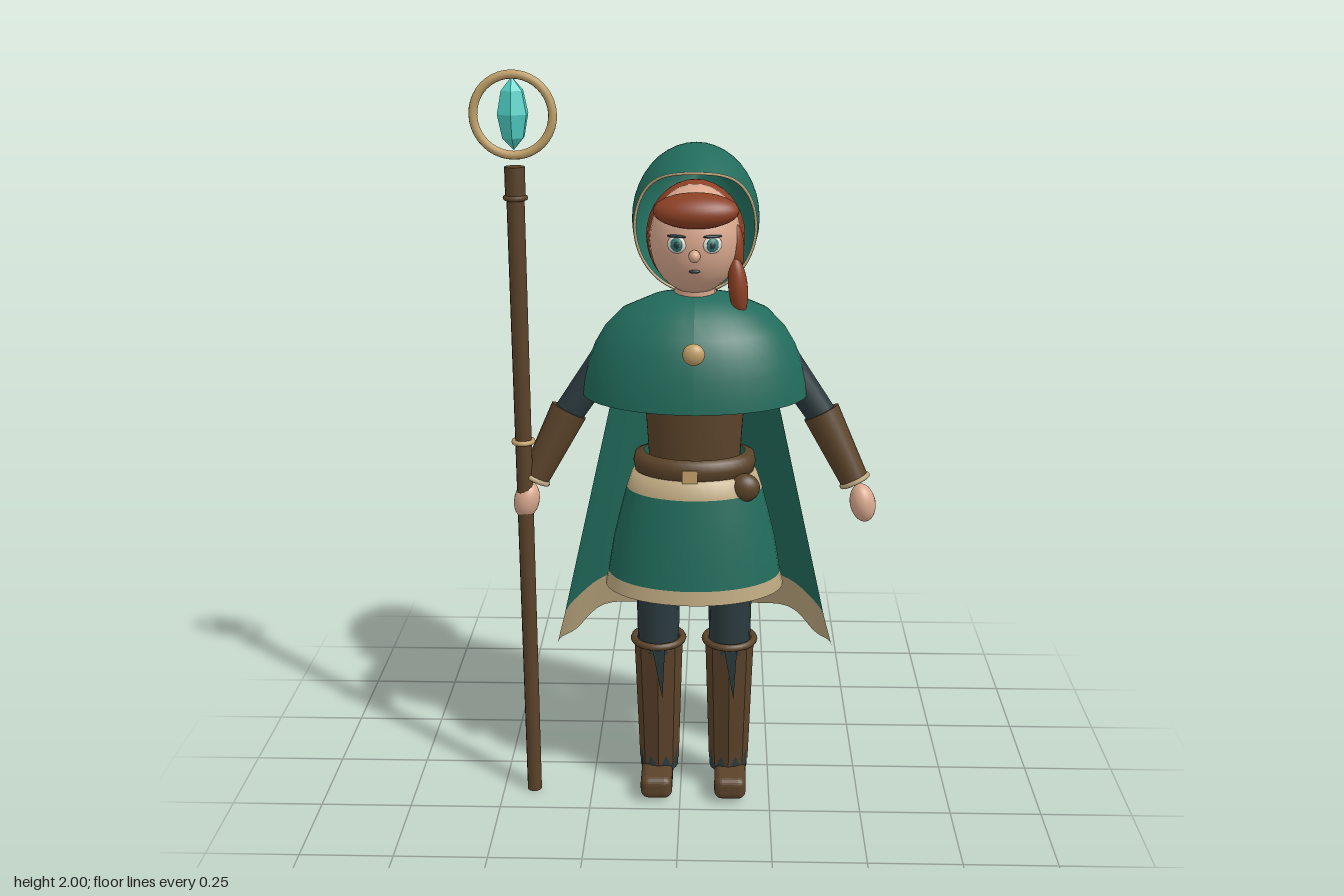
import * as THREE from 'three';
import { RoundedBoxGeometry } from 'three/addons/geometries/RoundedBoxGeometry.js';

const mat = (name, color, extra = {}) =>
  Object.assign(new THREE.MeshStandardMaterial({ color, ...extra }), { name });
const V = (x, y, z) => new THREE.Vector3(x, y, z);
const CX = 0.037; // body centre line

// Smooth surface from f(u, v) -> [x, y, z]
function surface(nu, nv, f) {
  const pos = [], idx = [];
  for (let j = 0; j <= nv; j++)
    for (let i = 0; i <= nu; i++) pos.push(...f(i / nu, j / nv));
  for (let j = 0; j < nv; j++)
    for (let i = 0; i < nu; i++) {
      const a = j * (nu + 1) + i, b = a + nu + 1;
      idx.push(a, a + 1, b, a + 1, b + 1, b);
    }
  const g = new THREE.BufferGeometry();
  g.setAttribute('position', new THREE.Float32BufferAttribute(pos, 3));
  g.setIndex(idx);
  g.computeVertexNormals();
  return g;
}

export function createModel() {
  const root = new THREE.Group();
  const green = mat('green cloth', 0x216b5b, { side: THREE.DoubleSide });
  const tan = mat('tan trim', 0xbca77f, { side: THREE.DoubleSide });
  const gold = mat('gold', 0xc0a068);
  const brown = mat('brown leather', 0x5a4229);
  const red = mat('red hair', 0x8c4024);
  const skin = mat('skin', 0xd9a88e);
  const dark = mat('dark cloth', 0x2b3a3e, { side: THREE.DoubleSide });
  const teal = mat('teal crystal', 0x4fcfc3, { flatShading: true });
  const white = mat('eye white', 0xe6e2d8);
  const iris = mat('iris', 0x2f8378);

  const add = (name, geo, m, x = 0, y = 0, z = 0) => {
    const mesh = new THREE.Mesh(geo, m);
    mesh.name = name;
    mesh.position.set(x, y, z);
    root.add(mesh);
    return mesh;
  };
  const ball = (name, m, p, s) => {
    const b = add(name, new THREE.SphereGeometry(1, 24, 16), m, ...p);
    b.scale.set(...s);
    return b;
  };
  // Elliptical lathe: profile of [radius, y], scaled by rx and rz
  const oval = (name, m, profile, rx, rz, z) => {
    const g = new THREE.LatheGeometry(profile.map(p => new THREE.Vector2(...p)), 40);
    g.scale(rx, 1, rz);
    return add(name, g, m, CX, 0, z);
  };
  // Tapered limb between two points
  const limb = (name, m, a, b, ra, rb, seg = 16) => {
    const g = new THREE.CylinderGeometry(rb, ra, a.distanceTo(b), seg);
    const l = add(name, g, m);
    l.position.copy(a).add(b).multiplyScalar(0.5);
    l.quaternion.setFromUnitVectors(V(0, 1, 0), b.clone().sub(a).normalize());
    return l;
  };

  // Head and face
  ball('head', skin, [CX, 1.575, 0.105], [0.118, 0.14, 0.112]);
  ball('backHair', red, [CX, 1.575, 0.06], [0.128, 0.145, 0.105]);
  const fringe = ball('fringe', red, [CX + 0.003, 1.662, 0.19], [0.108, 0.042, 0.055]);
  fringe.rotation.x = 0.35;
  ball('braid', red, [0.147, 1.46, 0.15], [0.025, 0.075, 0.027]).rotation.z = 0.1;
  ball('braidTop', red, [0.14, 1.55, 0.13], [0.022, 0.07, 0.025]);
  ball('nose', skin, [CX, 1.553, 0.222], [0.015, 0.016, 0.018]);
  ball('mouth', dark, [CX, 1.511, 0.204], [0.014, 0.005, 0.005]);
  for (const s of [-1, 1]) {
    const x = CX + s * 0.045;
    ball('eye', white, [x, 1.58, 0.208], [0.025, 0.022, 0.008]).rotation.y = s * 0.35;
    ball('iris', iris, [x, 1.58, 0.213], [0.016, 0.017, 0.007]).rotation.y = s * 0.35;
    ball('pupil', dark, [x, 1.58, 0.218], [0.008, 0.009, 0.004]).rotation.y = s * 0.35;
    const lash = ball('lash', dark, [x, 1.601, 0.209], [0.025, 0.004, 0.006]);
    lash.rotation.y = s * 0.35;
  }
  limb('neck', skin, V(CX, 1.36, 0.09), V(CX, 1.47, 0.09), 0.055, 0.055);

  // Hood: rings of [z, centre y, half width, half height], brim drawn forward
  const rings = [
    [0.1, 1.605, 0.155, 0.17], [0.065, 1.612, 0.163, 0.182], [0.02, 1.62, 0.164, 0.187],
    [-0.04, 1.628, 0.147, 0.172], [-0.085, 1.655, 0.108, 0.13], [-0.12, 1.695, 0.062, 0.072],
    [-0.142, 1.715, 0.001, 0.001],
  ];
  const spline = new THREE.CatmullRomCurve3(rings.map(r => V(r[0], r[1], r[2])));
  const heights = new THREE.CatmullRomCurve3(rings.map(r => V(r[3], 0, r[0])));
  const hoodPoint = (u, v) => {
    const a = u * Math.PI * 2, p = spline.getPoint(v), h = heights.getPoint(v).x;
    const up = Math.max(0, Math.sin(a)) ** 4, brim = Math.max(0, 1 - v * 5) * up;
    return [CX + p.z * Math.cos(a), p.y + h * Math.sin(a) - 0.025 * brim, p.x + 0.062 * brim];
  };
  add('hood', surface(40, 24, hoodPoint), green);
  const rim = Array.from({ length: 40 }, (_, i) => V(...hoodPoint(i / 40, 0)));
  add('hoodTrim', new THREE.TubeGeometry(new THREE.CatmullRomCurve3(rim, true), 80, 0.004, 6, true), tan);

  // Shoulder mantle, hanging lower at the back
  const mantle = oval('mantle', green, [
    [1, 1.165], [0.985, 1.2], [0.945, 1.25], [0.88, 1.3], [0.79, 1.345], [0.64, 1.39],
    [0.37, 1.425], [0.15, 1.437],
  ], 0.297, 0.216, 0.092);
  const mp = mantle.geometry.attributes.position;
  for (let i = 0; i < mp.count; i++) {
    const z = mp.getZ(i), low = (1.437 - mp.getY(i)) / 0.272;
    if (z < 0) mp.setY(i, mp.getY(i) + 0.2 * z * low);
  }
  mantle.geometry.computeVertexNormals();
  ball('clasp', gold, [CX, 1.32, 0.295], [0.028, 0.028, 0.02]);

  // Cape: half-oval rows from shoulders to a wavy trimmed hem
  const cape = (y0, y1) => (u, v) => {
    const y = y0 + (y1 - y0) * v, t = (1.35 - y) / 0.95, a = u * Math.PI;
    const hem = Math.max(0, (0.53 - y) / 0.13);
    const front = 0.12 - 0.06 * hem, back = -0.1 - 0.212 * t;
    const rx = 0.175 + 0.205 * t + 0.006 * t * Math.cos(a * 8);
    return [CX + rx * Math.cos(a), y + 0.012 * hem * Math.cos(a * 8),
      front - (front - back) * Math.sin(a)];
  };
  add('cape', surface(40, 12, cape(1.31, 0.53)), green);
  add('capeHem', surface(40, 4, cape(0.53, 0.405)), tan);
  add('capeCollar', surface(40, 2, cape(1.345, 1.31)), tan);

  // Torso, belt, skirt
  oval('bodice', brown, [[0.92, 0.95], [0.92, 1.0], [1, 1.17], [0.9, 1.3], [0.3, 1.38]], 0.132, 0.095, 0.115);
  oval('belt', brown, [[0.9, 0.957], [1, 0.962], [1.03, 0.985], [1, 1.008], [0.85, 1.014]], 0.158, 0.112, 0.122);
  add('buckle', new THREE.BoxGeometry(0.04, 0.035, 0.008), gold, CX - 0.01, 0.975, 0.236);
  ball('pouch', brown, [0.17, 0.935, 0.2], [0.04, 0.038, 0.03]);
  oval('skirtBand', tan, [[0.75, 0.915], [0.69, 0.958], [0.5, 0.965]], 0.241, 0.168, 0.128);
  oval('skirt', green, [[0.965, 0.675], [0.9, 0.77], [0.82, 0.85], [0.75, 0.915]], 0.241, 0.168, 0.128);
  oval('skirtHem', tan, [[1, 0.637], [0.965, 0.675]], 0.241, 0.168, 0.128);
  ball('hips', dark, [CX, 0.74, 0.13], [0.14, 0.09, 0.085]);

  // Arms
  for (const s of [-1, 1]) {
    const P = (x, y, z) => V(CX + s * x, y, z);
    const shoulder = P(0.235, 1.25, 0.085), elbow = P(0.345, 1.09, 0.09), wrist = P(0.427, 0.93, 0.122);
    limb('sleeve', dark, shoulder, elbow, 0.044, 0.04);
    ball('shoulder', dark, shoulder.toArray(), [0.044, 0.044, 0.044]);
    limb('bracer', brown, P(0.335, 1.11, 0.088), wrist, 0.05, 0.038);
    const cuff = add('cuff', new THREE.TorusGeometry(0.037, 0.007, 8, 24), tan, ...wrist.toArray());
    cuff.quaternion.setFromUnitVectors(V(0, 0, 1), wrist.clone().sub(elbow).normalize());
    const hand = ball('hand', skin, P(0.449, 0.873, 0.137).toArray(), [0.034, 0.053, 0.037]);
    hand.rotation.z = s * 0.2;
  }

  // Legs and boots
  for (const s of [-1, 1]) {
    const x = CX + s * 0.098;
    limb('thigh', dark, V(x, 0.44, 0.13), V(x, 0.76, 0.13), 0.056, 0.062);
    const boot = new THREE.CylinderGeometry(0.067, 0.055, 0.39, 8).toNonIndexed();
    boot.computeVertexNormals();
    limb('ankle', dark, V(x, 0.06, 0.1), V(x, 0.13, 0.1), 0.053, 0.053);
    const b = add('boot', boot, brown, x, 0.275, 0.112);
    b.rotation.set(0.065, 0, 0);
    const top = add('bootCuff', new THREE.TorusGeometry(0.067, 0.01, 8, 28), brown, x, 0.467, 0.125);
    top.rotation.x = Math.PI / 2;
    // Dark lacing slit down the front of the boot
    const slit = new THREE.Shape([[-0.014, 0.185], [0.02, 0.185], [0.012, 0.03]].map(p => new THREE.Vector2(...p)));
    const sm = add('bootSlit', new THREE.ShapeGeometry(slit), dark, x, 0.275, 0.177);
    sm.rotation.x = 0.095;
    const shoe = new RoundedBoxGeometry(0.088, 0.076, 0.21, 3, 0.022);
    const sp = shoe.attributes.position;
    for (let i = 0; i < sp.count; i++)
      if (sp.getY(i) > 0 && sp.getZ(i) > 0.04) sp.setY(i, sp.getY(i) - 0.01);
    shoe.computeVertexNormals();
    add('shoe', shoe, brown, CX + s * 0.103, 0.048, 0.117);
  }

  // Staff with ring and crystal
  const sx = -0.415, sz = 0.145;
  limb('staff', brown, V(sx, 0, sz), V(sx, 1.72, sz), 0.02, 0.023, 12);
  limb('staffTip', brown, V(sx, 1.69, sz), V(sx, 1.763, sz), 0.026, 0.026, 12);
  for (const y of [1.685, 1.04]) {
    const band = add('staffBand', new THREE.TorusGeometry(0.025, 0.007, 8, 20), y > 1.5 ? brown : gold, sx, y, sz);
    band.rotation.x = Math.PI / 2;
  }
  add('staffRing', new THREE.TorusGeometry(0.099, 0.011, 10, 40), gold, sx, 1.89, sz);
  const gem = [[0.001, 1.805], [0.03, 1.835], [0.042, 1.893], [0.03, 1.95], [0.001, 1.982]];
  add('crystal', new THREE.LatheGeometry(gem.map(p => new THREE.Vector2(...p)), 6), teal, sx, 0, sz);

  return root;
}
